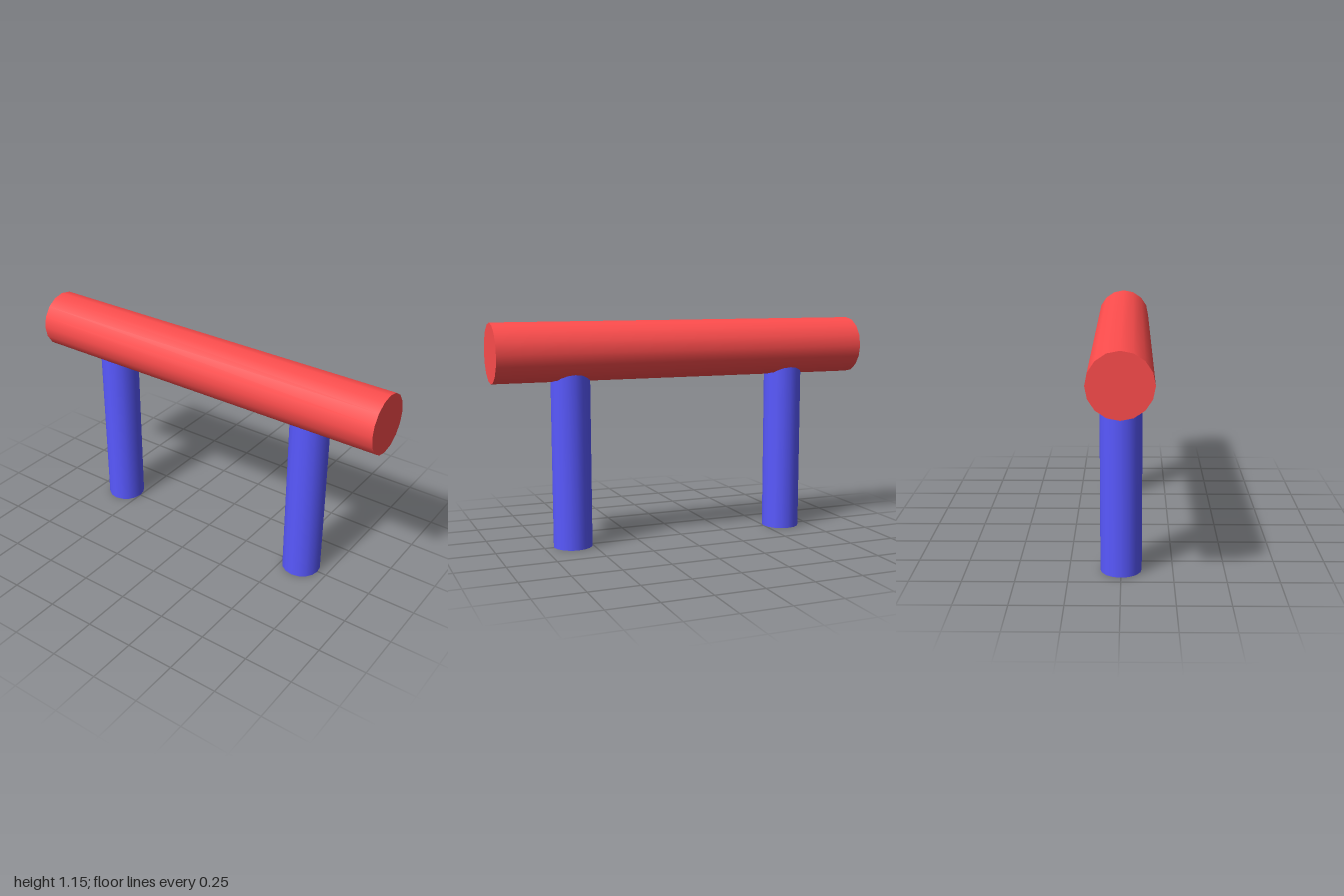
import * as THREE from 'three';

const SIDES = 16;

function cylinder(name, radius, length, material) {
  const mesh = new THREE.Mesh(new THREE.CylinderGeometry(radius, radius, length, SIDES), material);
  mesh.name = name;
  return mesh;
}

export function createModel() {
  const group = new THREE.Group();
  group.name = 'barOnPosts';
  const red = new THREE.MeshStandardMaterial({ color: 0xff4d4d });
  const blue = new THREE.MeshStandardMaterial({ color: 0x5959ff });

  // Horizontal bar running front to back
  const bar = cylinder('bar', 0.15, 2, red);
  bar.rotation.x = Math.PI / 2;
  bar.position.y = 1;
  group.add(bar);

  // Two upright posts, ending inside the bar
  const postHeight = 1;
  for (const [name, z] of [['frontPost', 0.6], ['backPost', -0.6]]) {
    const post = cylinder(name, 0.1, postHeight, blue);
    post.position.set(0, postHeight / 2, z);
    group.add(post);
  }
  return group;
}
